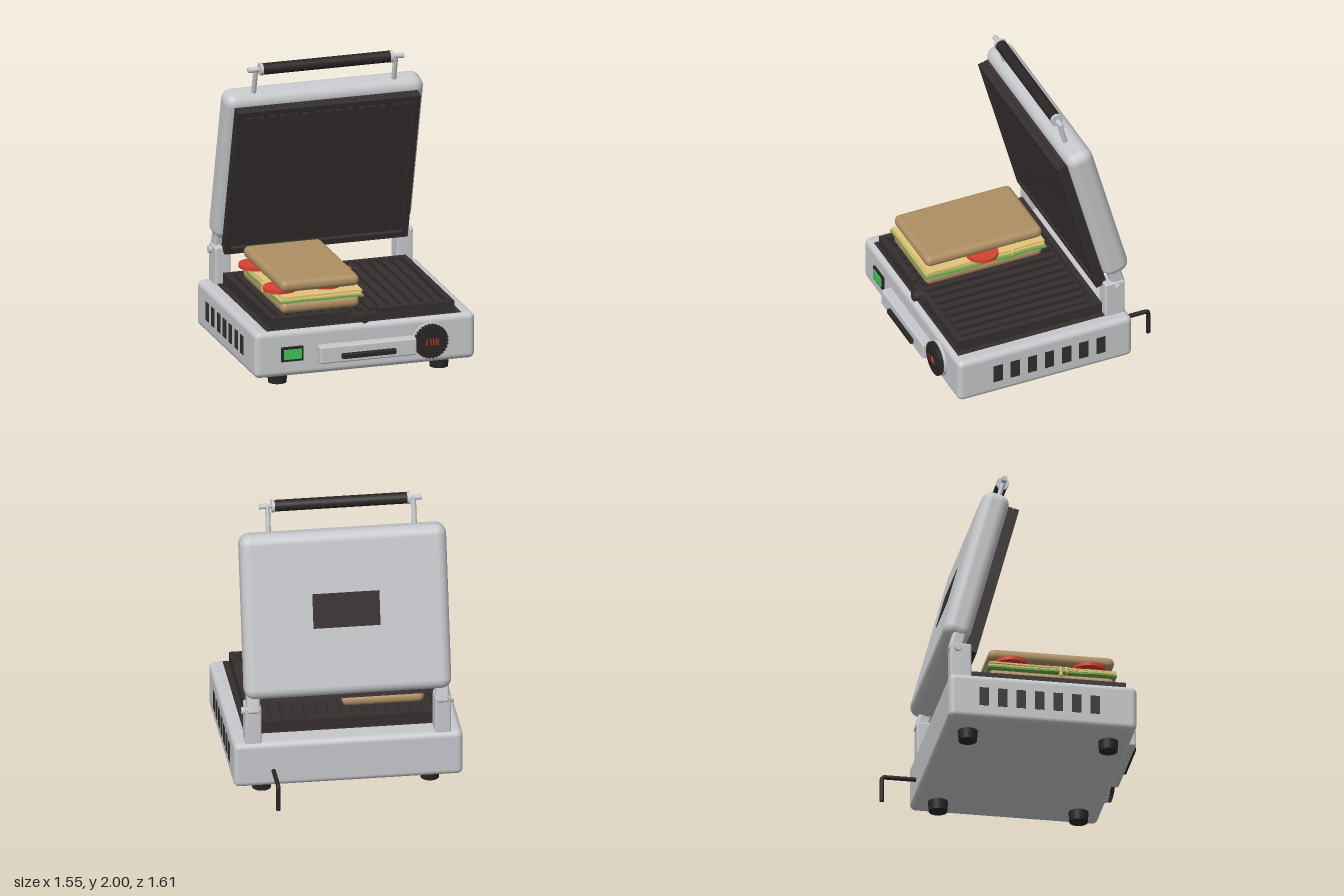
import * as THREE from 'three';
import { RoundedBoxGeometry } from 'three/addons/geometries/RoundedBoxGeometry.js';

const mat = (name, color) => {
  const m = new THREE.MeshStandardMaterial({ color });
  m.name = name;
  return m;
};

export function createModel() {
  const steel = mat('brushed steel', 0xc6c8cb);
  const iron = mat('cast iron', 0x352e2e);
  const black = mat('black plastic', 0x2a2525);
  const bread = mat('toasted bread', 0xae8f63);
  const yellow = mat('cheese', 0xe2c578);
  const leaf = mat('lettuce', 0x6cab4c);
  const red = mat('tomato', 0xd5422f);
  const lamp = mat('green lamp', 0x3fc656);
  const glow = mat('red display', 0xe0402c);

  const root = new THREE.Group();
  root.name = 'sandwichPress';

  const add = (parent, name, geo, material, x = 0, y = 0, z = 0) => {
    const m = new THREE.Mesh(geo, material);
    m.name = name;
    m.position.set(x, y, z);
    parent.add(m);
    return m;
  };
  const group = (parent, name, x = 0, y = 0, z = 0) => {
    const g = new THREE.Group();
    g.name = name;
    g.position.set(x, y, z);
    parent.add(g);
    return g;
  };
  const box = (w, h, d) => new THREE.BoxGeometry(w, h, d);
  const round = (w, h, d, r) => new RoundedBoxGeometry(w, h, d, 4, r);
  const cyl = (r, h, n = 28) => new THREE.CylinderGeometry(r, r, h, n);
  const cylX = (r, h, n) => cyl(r, h, n).rotateZ(Math.PI / 2);
  const cylZ = (r, h, n) => cyl(r, h, n).rotateX(Math.PI / 2);

  // Base housing with feet, vents and hinge posts
  const base = group(root, 'base');
  add(base, 'housing', round(1.54, 0.32, 1.27, 0.04), steel, 0, 0.24, 0.075);
  for (const s of [-1, 1]) {
    for (const z of [0.55, -0.4]) {
      add(base, 'foot', new THREE.CylinderGeometry(0.067, 0.062, 0.07, 28), black, s * 0.565, 0.036, z);
      add(base, 'footStem', cyl(0.05, 0.03), black, s * 0.565, 0.075, z);
    }
    for (let i = 0; i < 7; i++)
      add(base, 'sideVent', box(0.008, 0.13, 0.066), iron, s * 0.77, 0.24, 0.425 - i * 0.125);
    add(base, 'hingePost', round(0.11, 0.28, 0.145, 0.015), steel, s * 0.637, 0.52, -0.467);
    add(base, 'hingePin', cylX(0.025, 0.03), steel, s * 0.697, 0.62, -0.487);
  }

  // Ribbed griddle lying flat on y = 0, ribs along z
  const griddle = (parent, name, len, notch) => {
    const g = group(parent, name);
    const w = 1.28, rim = 0.04, top = 0.0575;
    add(g, 'slab', box(w, 0.035, len), iron, 0, 0.0175, 0);
    add(g, 'floor', box(w - 0.02, 0.015, len - 0.02), iron, 0, 0.0375, 0);
    for (const s of [-1, 1])
      add(g, 'sideRim', box(rim, 0.04, len), iron, s * (w - rim) / 2, top, 0);
    add(g, 'backRim', box(w, 0.04, rim), iron, 0, top, -(len - rim) / 2);
    if (notch) {
      for (const s of [-1, 1])
        add(g, 'frontRim', box(0.54, 0.04, rim), iron, s * 0.37, top, (len - rim) / 2);
    } else add(g, 'frontRim', box(w, 0.04, rim), iron, 0, top, (len - rim) / 2);
    for (let i = -7; i <= 7; i++)
      add(g, 'rib', box(0.04, 0.028, len - 0.11), iron, i * 0.078, 0.057, 0);
    return g;
  };

  // Lower griddle, its seal and the grease spout
  add(base, 'seal', box(1.36, 0.008, 1.08), iron, 0, 0.4, 0.135);
  griddle(base, 'lowerGriddle', 1.05, true).position.set(0, 0.402, 0.133);
  add(base, 'greaseSpout', cylZ(0.033, 0.07, 20), iron, 0, 0.43, 0.665);

  // Power switch
  const sw = group(base, 'powerSwitch', -0.513, 0.24, 0.71);
  add(sw, 'switchFrame', box(0.152, 0.1, 0.03), black);
  add(sw, 'switchLamp', box(0.122, 0.068, 0.02), lamp, 0, 0, 0.012);

  // Drip drawer
  add(base, 'dripDrawer', round(0.675, 0.118, 0.09, 0.012), steel, 0, 0.225, 0.735);
  add(base, 'drawerGrip', round(0.38, 0.036, 0.05, 0.008), black, 0, 0.213, 0.78);

  // Temperature dial with ridged rim
  const dial = group(base, 'temperatureDial', 0.45, 0.24, 0.71);
  add(dial, 'dialRing', cylZ(0.124, 0.02, 40), steel, 0, 0, 0.008);
  add(dial, 'dialBody', cylZ(0.111, 0.045, 40), black, 0, 0, 0.024);
  add(dial, 'dialFace', cylZ(0.088, 0.01, 40), black, 0, 0, 0.047);
  for (let i = 0; i < 30; i++) {
    const a = (i / 30) * Math.PI * 2;
    add(dial, 'dialRidge', box(0.012, 0.012, 0.04), black, Math.cos(a) * 0.112, Math.sin(a) * 0.112, 0.024)
      .rotation.z = a;
  }
  for (const x of [-0.035, -0.008, 0.008, 0.025, 0.041])
    add(dial, 'displayBar', box(0.006, 0.045, 0.004), glow, x, 0, 0.052);

  // Power cord
  const cord = new THREE.CurvePath();
  const v = (y, z) => new THREE.Vector3(0.505, y, z);
  cord.add(new THREE.LineCurve3(v(0.195, -0.54), v(0.195, -0.77)));
  cord.add(new THREE.QuadraticBezierCurve3(v(0.195, -0.77), v(0.195, -0.79), v(0.175, -0.79)));
  cord.add(new THREE.LineCurve3(v(0.175, -0.79), v(0.02, -0.79)));
  add(base, 'powerCord', new THREE.TubeGeometry(cord, 48, 0.015, 12), black);
  add(base, 'cordEnd', cyl(0.015, 0.004, 12), black, 0.505, 0.02, -0.79);

  // Tilted lid with upper griddle, badge plate and handle
  const lid = group(root, 'lid', 0, 1.255, -0.355);
  lid.rotation.x = THREE.MathUtils.degToRad(15);
  add(lid, 'lidShell', round(1.39, 1.12, 0.19, 0.07), steel);
  add(lid, 'backPlate', box(0.45, 0.235, 0.008), iron, 0, 0.025, -0.095);
  const upper = griddle(lid, 'upperGriddle', 1.11, false);
  upper.position.set(0, -0.06, 0.09);
  upper.rotation.x = Math.PI / 2;
  for (const s of [-1, 1]) {
    add(lid, 'hingeArm', round(0.09, 0.16, 0.09, 0.02), steel, s * 0.635, -0.585, 0.02);
    add(lid, 'handlePost', cyl(0.017, 0.22, 18), steel, s * 0.49, 0.635, 0.02);
    add(lid, 'handleCollar', cylX(0.043, 0.02), steel, s * 0.455, 0.735, 0.02);
    add(lid, 'handleTip', cylX(0.018, 0.06, 18), steel, s * 0.515, 0.735, 0.02);
  }
  add(lid, 'handleRod', cylX(0.013, 1.08, 18), steel, 0, 0.735, 0.02);
  add(lid, 'handleGrip', cylX(0.039, 0.9, 28), black, 0, 0.735, 0.02);

  // Sandwich: bread, wavy filling sheets and tomato slices
  const food = group(root, 'sandwich', -0.275, 0, 0.172);
  const sheet = (w, h, d, amp) => {
    const g = new THREE.BoxGeometry(w, h, d, 20, 1, 30);
    const p = g.attributes.position;
    for (let i = 0; i < p.count; i++) {
      const x = p.getX(i), z = p.getZ(i);
      p.setY(i, p.getY(i) + amp * Math.sin(x * 23 + 1) * Math.cos(z * 19));
      p.setX(i, x * (1 + amp * 2 * Math.sin(z * 27)));
    }
    g.computeVertexNormals();
    return g;
  };
  add(food, 'bottomBread', round(0.55, 0.078, 0.85, 0.037), bread, 0, 0.517, 0);
  add(food, 'topBread', round(0.55, 0.082, 0.85, 0.039), bread, 0, 0.666, 0);
  add(food, 'lettuce', sheet(0.59, 0.012, 0.875, 0.004), leaf, 0.003, 0.564, 0);
  add(food, 'lowerCheese', sheet(0.57, 0.01, 0.865, 0.002), yellow, -0.003, 0.578, 0);
  add(food, 'upperCheese', sheet(0.565, 0.012, 0.86, 0.002), yellow, 0, 0.595, 0).rotation.y = 0.02;
  for (const [x, z, h] of [[-0.285, 0.06, 0.05], [-0.282, 0.1, 0.025], [0.279, -0.2, 0.03]])
    add(food, 'cheeseDrip', new THREE.CapsuleGeometry(0.013, h, 6, 12), yellow, x, 0.588 - h / 2, z);
  for (const [x, z] of [[-0.235, 0.258], [0.235, 0.005], [-0.235, -0.27], [0.1, -0.27], [0.08, 0.25]])
    add(food, 'tomatoSlice', cyl(0.11, 0.024, 32), red, x, 0.613, z);

  return root;
}
